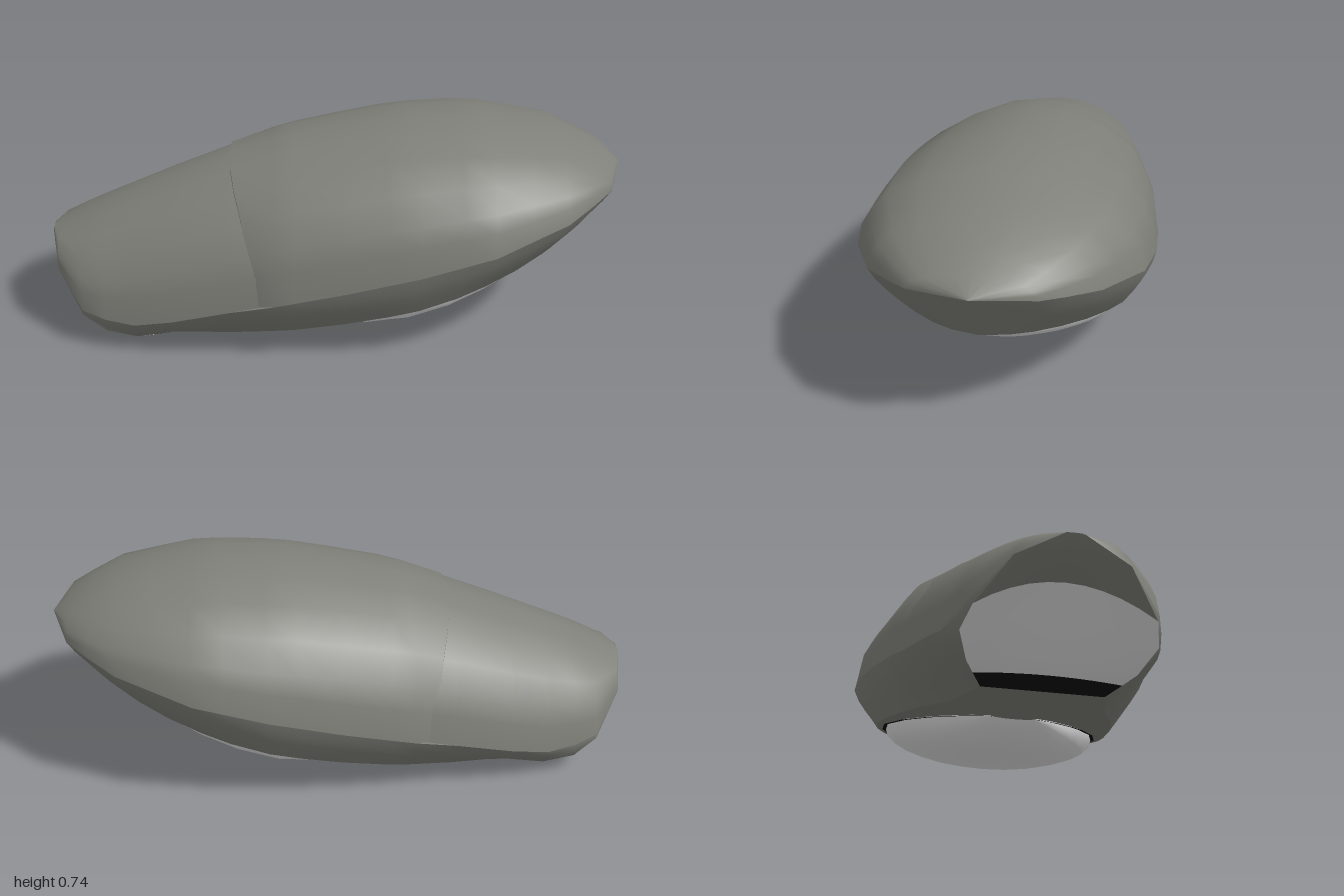
import * as THREE from 'three';

const mat = (name, color) => Object.assign(
  new THREE.MeshStandardMaterial({ color, side: THREE.DoubleSide }), { name });

// Height of the sloping underside
const planeY = x => 0.132 + 0.262 * x;

// Skin a grid of points: rows run along +x, columns across the section
function skin(rows) {
  const n = rows[0].length, idx = [];
  for (let i = 0; i < rows.length - 1; i++) {
    for (let j = 0; j < n - 1; j++) {
      const a = i * n + j, b = a + n;
      idx.push(a, b, a + 1, b, b + 1, a + 1);
    }
  }
  const g = new THREE.BufferGeometry();
  g.setAttribute('position', new THREE.Float32BufferAttribute(rows.flat(2), 3));
  g.setIndex(idx);
  g.computeVertexNormals();
  return g;
}

// Arched section over the top, from the +z seam to the -z seam
const half = [[1, 0], [0.965, 0.27], [0.9, 0.44], [0.765, 0.69], [0.53, 0.855], [0.27, 0.965]];
const profile = [...half, [0, 1], ...half.map(([z, y]) => [-z, y]).reverse()];
const arch = ([x, top, w, y], bend = 0) => profile.map(([u, v]) =>
  [x + bend * (u * w) ** 2, y + (top - y) * v, u * w]);

// Row of points crossing from -z to +z, lifted in the middle
function across(x, y, halfWidth, lift = 0) {
  const pts = [];
  for (let j = 0; j <= 10; j++) {
    const t = j / 5 - 1;
    pts.push([x, y + lift * (1 - t * t), t * halfWidth]);
  }
  return pts;
}

export function createModel() {
  const group = new THREE.Group();
  const shell = mat('shell grey', 0x7f8079);
  const pale = mat('pale lens', 0xf4f4f6);
  const black = mat('black', 0x0c0c0c);
  const add = (name, geo, m) => {
    const mesh = new THREE.Mesh(geo, m);
    mesh.name = name;
    group.add(mesh);
  };

  // Stations: x, top, seam half width, seam height, then rim x, rim height, rim half width
  const nose = [
    [-1, 0.335, 0.03, 0.333, -1, 0.333, 0.03],
    [-0.97, 0.35, 0.18, 0.26, -0.97, 0.258, 0.18],
    [-0.88, 0.395, 0.29, 0.15, -0.88, 0.13, 0.285],
    [-0.8, 0.432, 0.32, 0.13, -0.8, 0.08, 0.31],
    [-0.7, 0.475, 0.348, 0.122, -0.7, 0.03, 0.27],
    [-0.57, 0.525, 0.38, 0.152, -0.57, 0.005, 0.2],
    [-0.37, 0.6, 0.41, 0.204, -0.37, 0.035, 0.26],
  ];
  const dome = [
    [-0.22, 0.66, 0.443, 0.243, -0.22, planeY(-0.22), 0.32],
    [-0.15, 0.68, 0.452, 0.261, -0.15, planeY(-0.15), 0.345],
    [0.02, 0.71, 0.473, 0.305, 0.02, planeY(0.02), 0.385],
    [0.17, 0.735, 0.483, 0.344, 0.17, planeY(0.17), 0.408],
    [0.27, 0.742, 0.49, 0.37, 0.27, planeY(0.27), 0.415],
    [0.42, 0.747, 0.481, 0.409, 0.4, planeY(0.4), 0.395],
    [0.52, 0.738, 0.475, 0.435, 0.5, planeY(0.5), 0.36],
    [0.65, 0.715, 0.42, 0.469, 0.61, planeY(0.61), 0.305],
    [0.77, 0.69, 0.37, 0.5, 0.71, planeY(0.71), 0.235],
    [0.87, 0.645, 0.278, 0.526, 0.79, planeY(0.79), 0.16],
    [0.94, 0.61, 0.205, 0.545, 0.84, planeY(0.84), 0.09],
    [1, 0.56, 0, 0.56, 0.87, planeY(0.87), 0],
  ];

  // Upper shells, the rear one overlapping the nose with a small step
  add('noseShell', skin([...nose, [-0.22, 0.63, 0.428, 0.243]].map(s => arch(s))), shell);
  const edge = [-0.37, 0.614, 0.413, 0.227];
  add('domeShell', skin([arch(edge, 0.46), ...dome.map(s => arch(s))]), shell);
  add('domeLip', skin([arch([-0.37, 0.585, 0.4, 0.227], 0.46), arch(edge, 0.46)]), shell);

  // Lower side bands, slightly bulged between the seam and the rim
  const all = [...nose, ...dome];
  const band = side => skin(all.map(([x, , w, y, xr, yr, b]) => {
    const pts = [0, 0.25, 0.5, 0.75, 1].map(t => [
      x + (xr - x) * t, y + (yr - y) * t, side * (w + (b - w) * t ** 1.4)]);
    return side < 0 ? pts : pts.reverse();
  }));
  add('leftBand', band(1), shell);
  add('rightBand', band(-1), shell);

  // Flat underside
  add('underside', skin(all.slice(5).map(s => across(s[4], s[5], s[6]))), shell);

  // Opening under the nose: x, rim height, half width, lift
  const mouth = [[-1, 0.333, 0.03, 0], [-0.97, 0.258, 0.18, 0.03], [-0.88, 0.13, 0.285, 0.1],
    [-0.8, 0.08, 0.31, 0.08], [-0.7, 0.03, 0.27, 0.035], [-0.64, 0.018, 0.238, 0.012],
    [-0.57, 0.005, 0.2, 0]].map(r => across(...r));
  add('mouthRoof', skin(mouth.slice(0, 3)), shell);
  add('mouthLens', skin(mouth.slice(2, 6)), pale);
  add('mouthGap', skin(mouth.slice(5)), black);

  // Bulging lens below the underside: x, lowest height, half width
  const keel = [[-0.148, 0.085, 0.08], [-0.12, 0.05, 0.14], [-0.05, 0.018, 0.225], [0, 0.008, 0.27],
    [0.1, 0.014, 0.335], [0.24, 0.055, 0.38], [0.38, 0.1, 0.368], [0.5, 0.15, 0.328],
    [0.61, 0.203, 0.27], [0.72, 0.263, 0.193], [0.79, 0.31, 0.122], [0.838, 0.348, 0.04]];
  add('lens', skin(keel.map(([x, low, w]) => {
    const pts = [];
    for (let j = 0; j <= 14; j++) {
      const a = (j / 14 - 0.5) * Math.PI;
      pts.push([x, planeY(x) - (planeY(x) - low) * Math.cos(a), w * Math.sin(a)]);
    }
    return pts;
  })), pale);

  // Thin dark gap along both edges of the lens
  for (const side of [-1, 1]) {
    add('lensGap', skin(keel.map(([x, , w]) => {
      const strip = [w - 0.01, w + 0.012].map(z => [x, planeY(x) - 0.004, side * z]);
      return side > 0 ? strip : strip.reverse();
    })), black);
  }

  return group;
}
